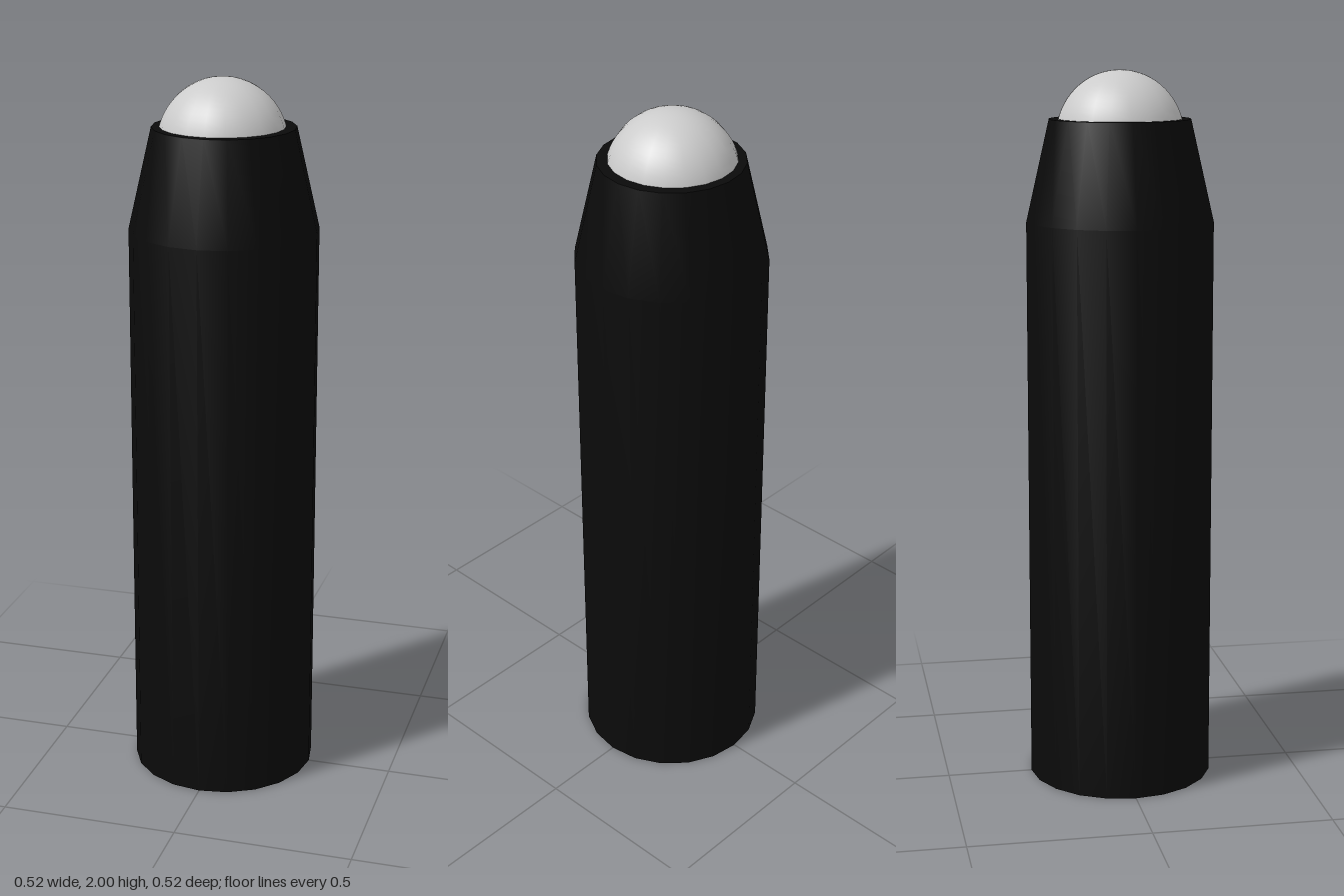
import * as THREE from 'three';
import { toCreasedNormals } from 'three/addons/utils/BufferGeometryUtils.js';

const SIDES = 20;

export function createModel() {
  const group = new THREE.Group();

  // Closed black casing: straight barrel, tapered shoulder and flat rim
  const profile = [[0, 0], [0.26, 0], [0.26, 1.59], [0.196, 1.868], [0, 1.868]]
    .map(([r, y]) => new THREE.Vector2(r, y));
  const casing = new THREE.Mesh(
    toCreasedNormals(new THREE.LatheGeometry(profile, SIDES), 0.6),
    new THREE.MeshStandardMaterial({ color: 0x0a0a0a })
  );
  casing.name = 'casing';
  group.add(casing);

  // Grey rounded tip, set into the rim
  const radius = 0.176;
  const tip = new THREE.Mesh(
    new THREE.SphereGeometry(radius, SIDES, 16, 0, Math.PI * 2, 0, Math.PI / 2),
    new THREE.MeshStandardMaterial({ color: 0xcccccc })
  );
  tip.name = 'roundedTip';
  tip.position.set(-0.004, 2 - radius, 0);
  group.add(tip);

  return group;
}
